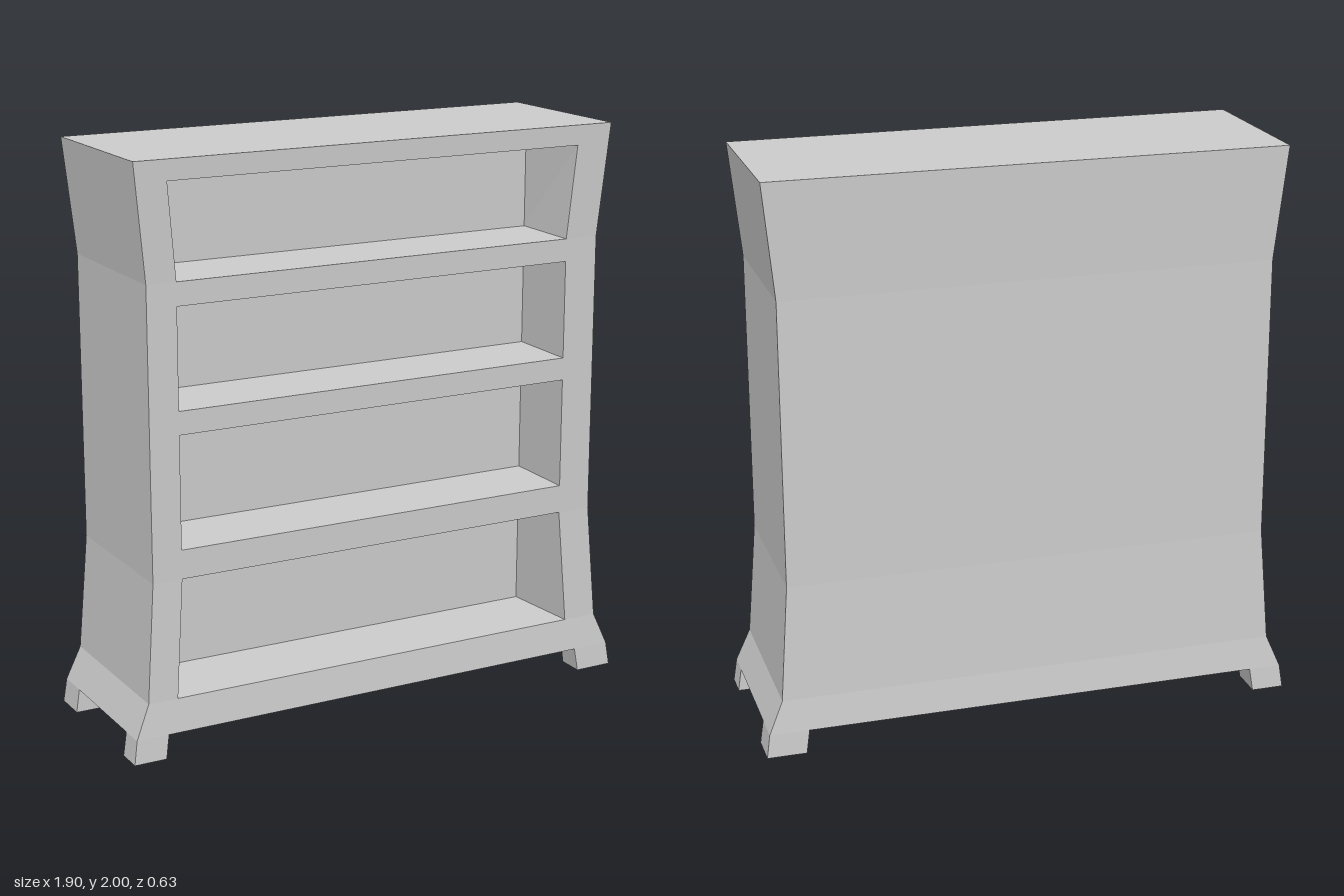
import * as THREE from 'three';

// outer outline: height, half width, half depth
const OUTLINE = [
  [0, 0.948, 0.315], [0.083, 0.936, 0.31], [0.2, 0.886, 0.298],
  [0.61, 0.855, 0.285], [1.605, 0.855, 0.285], [2, 0.895, 0.298],
];
// front edges of the shelf openings: height, left side x, right side x
const MOUTH = [
  [0.083, -0.78, 0.76], [0.2, -0.78, 0.76], [0.61, -0.75, 0.73],
  [1.605, -0.75, 0.73], [1.93, -0.78, 0.76], [2, -0.78, 0.76],
];
const RECESS_Z = 0.01; // plane of the recess backs
const RECESS_X = [-0.755, 0.735];
const LEVELS = [0, 0.083, 0.2, 0.61, 1.605, 1.93, 2];

// linear interpolation of column c in a table keyed by height
function at(table, y, c) {
  for (let i = 1; i < table.length; i++) {
    const a = table[i - 1], b = table[i];
    if (y <= b[0]) return a[c] + (b[c] - a[c]) * (y - a[0]) / (b[0] - a[0]);
  }
  return table[table.length - 1][c];
}
const halfW = (y) => at(OUTLINE, y, 1);
const halfD = (y) => at(OUTLINE, y, 2);

// closed solid lofted through four-cornered sections between two heights;
// corners run back -x, front -x, front +x, back +x
function loft(y0, y1, section) {
  const ys = [y0, ...LEVELS.filter((y) => y > y0 && y < y1), y1];
  const rings = ys.map((y) => section(y).map(([x, z]) => [x, y, z]));
  const pos = [];
  const quad = (a, b, c, d) => pos.push(...a, ...b, ...c, ...a, ...c, ...d);
  for (let i = 1; i < rings.length; i++) {
    const lo = rings[i - 1], hi = rings[i];
    for (let k = 0; k < 4; k++) {
      const n = (k + 1) % 4;
      quad(lo[k], lo[n], hi[n], hi[k]);
    }
  }
  const [a, b, c, d] = rings[0];
  quad(d, c, b, a);
  quad(...rings[rings.length - 1]);
  const geo = new THREE.BufferGeometry();
  geo.setAttribute('position', new THREE.Float32BufferAttribute(pos, 3));
  geo.computeVertexNormals();
  return geo;
}

export function createModel() {
  const group = new THREE.Group();
  const material = new THREE.MeshStandardMaterial({ color: 0xcccccc, flatShading: true });
  const add = (name, geo) => {
    const mesh = new THREE.Mesh(geo, material);
    mesh.name = name;
    group.add(mesh);
  };

  // solid rear half of the cabinet
  add('backPanel', loft(0.083, 2, (y) => {
    const w = halfW(y), d = halfD(y);
    return [[-w, -d], [-w, RECESS_Z], [w, RECESS_Z], [w, -d]];
  }));

  // side walls framing the openings
  add('rightSide', loft(0.083, 2, (y) => {
    const w = halfW(y), d = halfD(y);
    return [[-w, RECESS_Z], [-w, d], [at(MOUTH, y, 1), d], [RECESS_X[0], RECESS_Z]];
  }));
  add('leftSide', loft(0.083, 2, (y) => {
    const w = halfW(y), d = halfD(y);
    return [[RECESS_X[1], RECESS_Z], [at(MOUTH, y, 2), d], [w, d], [w, RECESS_Z]];
  }));

  // plinth, three shelves and top
  const shelves = [
    ['plinth', 0.083, 0.2], ['lowerShelf', 0.61, 0.71], ['middleShelf', 1.1, 1.18],
    ['upperShelf', 1.525, 1.605], ['top', 1.93, 2],
  ];
  for (const [name, y0, y1] of shelves) {
    add(name, loft(y0, y1, (y) => [
      [RECESS_X[0], RECESS_Z], [at(MOUTH, y, 1), halfD(y)],
      [at(MOUTH, y, 2), halfD(y)], [RECESS_X[1], RECESS_Z],
    ]));
  }

  // four splayed feet
  for (const sx of [-1, 1]) {
    for (const sz of [-1, 1]) {
      const name = (sz > 0 ? 'front' : 'back') + (sx > 0 ? 'Left' : 'Right') + 'Foot';
      add(name, loft(0, 0.083, (y) => {
        const inX = (sx > 0 ? 0.81 : 0.833) - y * 0.15;
        const inZ = sz * (sz > 0 ? 0.22 : 0.193);
        const [xa, xb] = [sx * inX, sx * halfW(y)].sort((p, q) => p - q);
        const [za, zb] = [inZ, sz * halfD(y)].sort((p, q) => p - q);
        return [[xa, za], [xa, zb], [xb, zb], [xb, za]];
      }));
    }
  }
  return group;
}
